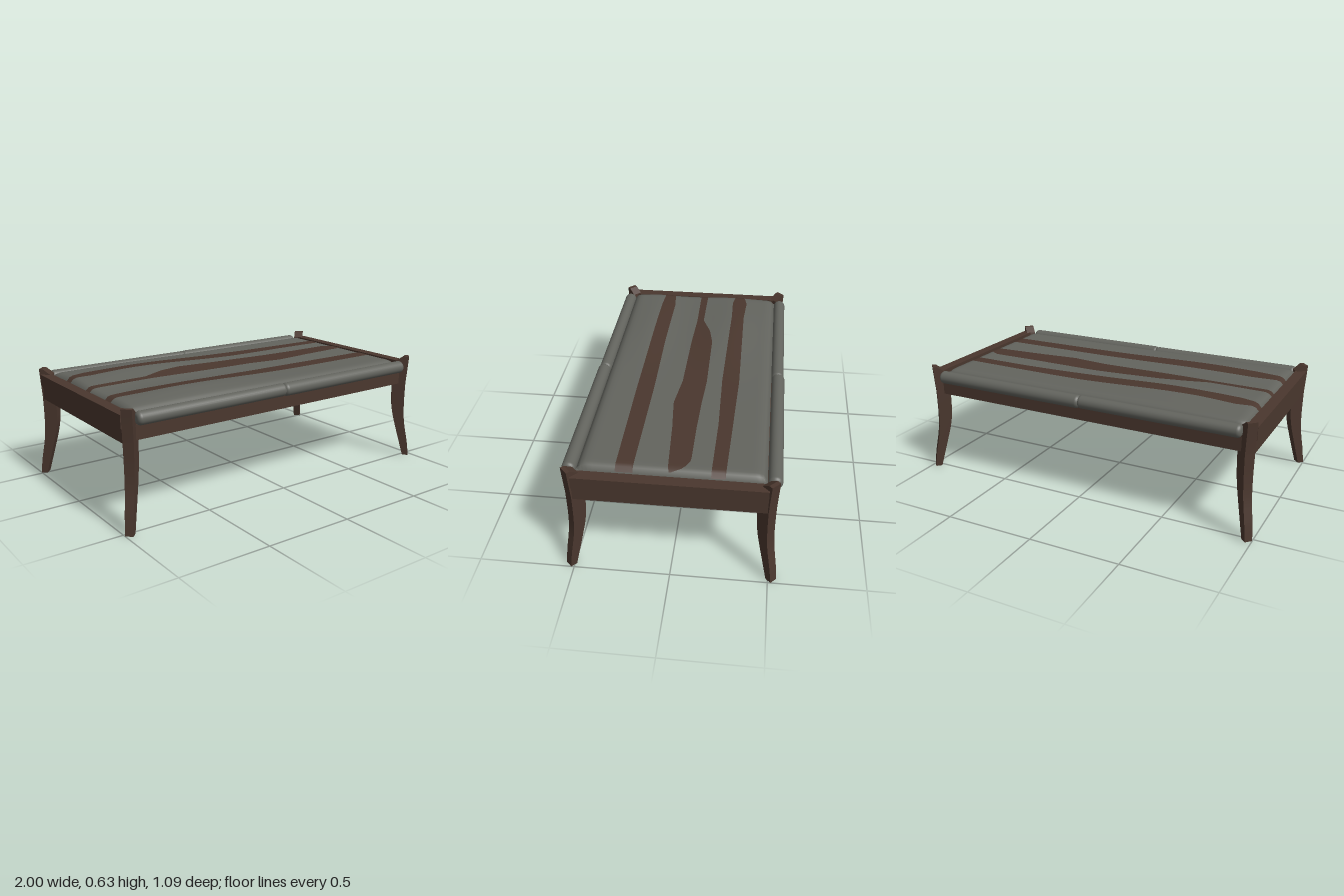
import * as THREE from 'three';
import { toCreasedNormals } from 'three/addons/utils/BufferGeometryUtils.js';

export function createModel() {
  const bench = new THREE.Group();
  bench.name = 'bench';

  const wood = new THREE.MeshStandardMaterial({ color: 0x4a372e });
  wood.name = 'dark wood';
  const fabric = new THREE.MeshStandardMaterial({ color: 0x63645e });
  fabric.name = 'grey upholstery';

  function add(name, geometry, material, x = 0, y = 0, z = 0) {
    const mesh = new THREE.Mesh(geometry, material);
    mesh.name = name;
    mesh.position.set(x, y, z);
    bench.add(mesh);
    return mesh;
  }
  // box given by its limits on each axis
  function box(name, [x0, x1], [y0, y1], [z0, z1]) {
    add(name, new THREE.BoxGeometry(x1 - x0, y1 - y0, z1 - z0), wood,
      (x0 + x1) / 2, (y0 + y1) / 2, (z0 + z1) / 2);
  }

  // sabre legs, set diagonally: profile x points outward along the corner
  const profile = new THREE.Shape();
  profile.moveTo(-0.018, 0);
  profile.lineTo(0.018, 0);
  profile.splineThru([[0.005, 0.09], [-0.02, 0.22], [-0.028, 0.33], [-0.028, 0.46]]
    .map(([x, y]) => new THREE.Vector2(x, y)));
  profile.lineTo(-0.0165, 0.625);
  profile.lineTo(-0.038, 0.625);
  profile.lineTo(-0.082, 0.594);
  profile.lineTo(-0.106, 0.45);
  profile.splineThru([[-0.103, 0.34], [-0.091, 0.26], [-0.07, 0.18], [-0.018, 0]]
    .map(([x, y]) => new THREE.Vector2(x, y)));
  const legSolid = new THREE.ExtrudeGeometry(profile, {
    depth: 1, bevelEnabled: false, curveSegments: 16,
  }).translate(0, 0, -0.5);
  // the leg narrows towards the foot
  const l = legSolid.attributes.position;
  for (let i = 0; i < l.count; i++) {
    l.setZ(i, l.getZ(i) * (0.042 + 0.013 * Math.min(1, l.getY(i) / 0.45)));
  }
  const legGeometry = toCreasedNormals(legSolid, 0.5);
  for (const sx of [-1, 1]) {
    for (const sz of [-1, 1]) {
      const leg = add('leg', legGeometry, wood, sx * 0.9725, 0, sz * 0.5175);
      leg.rotation.y = Math.atan2(-sz, sx);
    }
  }

  // frame rails
  for (const s of [-1, 1]) {
    const span = (a, b) => (s > 0 ? [a, b] : [-b, -a]);
    box('upperEndRail', span(0.917, 0.977), [0.527, 0.594], [-0.475, 0.475]);
    box('lowerEndRail', span(0.922, 0.968), [0.452, 0.521], [-0.475, 0.475]);
    box('longRail', [-0.925, 0.925], [0.46, 0.535], span(0.442, 0.488));
    box('edgeSlat', [-0.92, 0.92], [0.521, 0.556], span(0.395, 0.445));
  }
  box('crossRail', [-0.022, 0.022], [0.468, 0.528], [-0.445, 0.445]);

  // slats and short battens under the cushion
  for (const z of [-0.24, 0, 0.24]) {
    box('slat', [-0.92, 0.92], [0.521, 0.556], [z - 0.083, z + 0.083]);
  }
  for (let i = 0; i < 8; i++) {
    const x = -0.84 + i * 0.24;
    box('batten', [x - 0.02, x + 0.02], [0.534, 0.556], [-0.42, 0.42]);
  }

  // cushion surface: rounded edges and a soft uneven crown
  const middle = -0.0125, halfLength = 0.9075, halfWidth = 0.465;
  const round = (distance, radius) => {
    const e = THREE.MathUtils.clamp(distance / radius, 0, 1);
    return Math.sqrt(1 - (1 - e) ** 2);
  };
  const bell = (v, centre, spread) => Math.exp(-(((v - centre) / spread) ** 2));
  function topY(x, z) {
    const edge = round(halfLength - Math.abs(x - middle), 0.05)
      * round(halfWidth - Math.abs(z), 0.06);
    const crown = bell(x, -0.5, 0.45) * (bell(z, -0.2, 0.17) + 0.7 * bell(z, 0.3, 0.12));
    return 0.573 + (0.031 + 0.024 * crown) * edge;
  }
  const cushion = new THREE.BoxGeometry(halfLength * 2, 2, halfWidth * 2, 90, 1, 46);
  const p = cushion.attributes.position;
  for (let i = 0; i < p.count; i++) {
    const x = p.getX(i) + middle, z = p.getZ(i);
    p.setXYZ(i, x, p.getY(i) > 0 ? topY(x, z) : 0.55, z);
  }
  add('cushion', toCreasedNormals(cushion, 0.9), fabric);

  // wooden stripes on the cushion, each row being x, back z, front z
  const stripes = [
    [[-0.918, -0.26, -0.215], [-0.8, -0.285, -0.195], [-0.6, -0.275, -0.2],
      [0.1, -0.285, -0.19], [0.5, -0.275, -0.2], [0.894, -0.265, -0.195]],
    [[-0.918, -0.025, 0.02], [-0.56, -0.025, 0.015], [-0.43, -0.075, 0.02],
      [-0.3, -0.1, 0.025], [0.12, -0.105, 0.03], [0.33, -0.095, 0.055],
      [0.55, -0.09, 0.035], [0.8, -0.09, 0.02], [0.86, -0.06, 0.016], [0.885, 0, 0.01]],
    [[-0.918, 0.195, 0.255], [-0.75, 0.18, 0.265], [-0.3, 0.185, 0.27],
      [0.2, 0.18, 0.275], [0.894, 0.185, 0.272]],
  ];
  for (const rows of stripes) {
    const first = rows[0][0], last = rows[rows.length - 1][0];
    const strip = new THREE.PlaneGeometry(1, 1, 90, 8).rotateX(-Math.PI / 2);
    const q = strip.attributes.position;
    for (let i = 0; i < q.count; i++) {
      const x = first + (q.getX(i) + 0.5) * (last - first);
      let k = 0;
      while (k < rows.length - 2 && x > rows[k + 1][0]) k++;
      const [a, b] = [rows[k], rows[k + 1]];
      const t = (x - a[0]) / (b[0] - a[0]);
      const back = THREE.MathUtils.lerp(a[1], b[1], t);
      const front = THREE.MathUtils.lerp(a[2], b[2], t);
      const z = back + (q.getZ(i) + 0.5) * (front - back);
      q.setXYZ(i, x, topY(x, z) + 0.003, z);
    }
    strip.computeVertexNormals();
    add('woodStripe', strip, wood);
  }

  // padded rolls along both long edges, two per side
  function roll(x0, x1, z, radius) {
    const length = x1 - x0, r = 0.022, points = [new THREE.Vector2(0, 0)];
    for (let i = 0; i <= 6; i++) {
      const a = (i / 6) * Math.PI / 2;
      points.push(new THREE.Vector2(radius - r + r * Math.sin(a), r - r * Math.cos(a)));
    }
    for (let i = 0; i <= 6; i++) {
      const a = (i / 6) * Math.PI / 2;
      points.push(new THREE.Vector2(radius - r + r * Math.cos(a), length - r + r * Math.sin(a)));
    }
    points.push(new THREE.Vector2(0, length));
    const geometry = new THREE.LatheGeometry(points, 28).rotateZ(-Math.PI / 2);
    add('edgeRoll', geometry, fabric, x0, 0.57, z);
  }
  for (const s of [-1, 1]) {
    roll(-0.908, -0.008, s * 0.499, 0.035);
    roll(-0.022, 0.895, s * 0.503, 0.036);
  }

  return bench;
}
